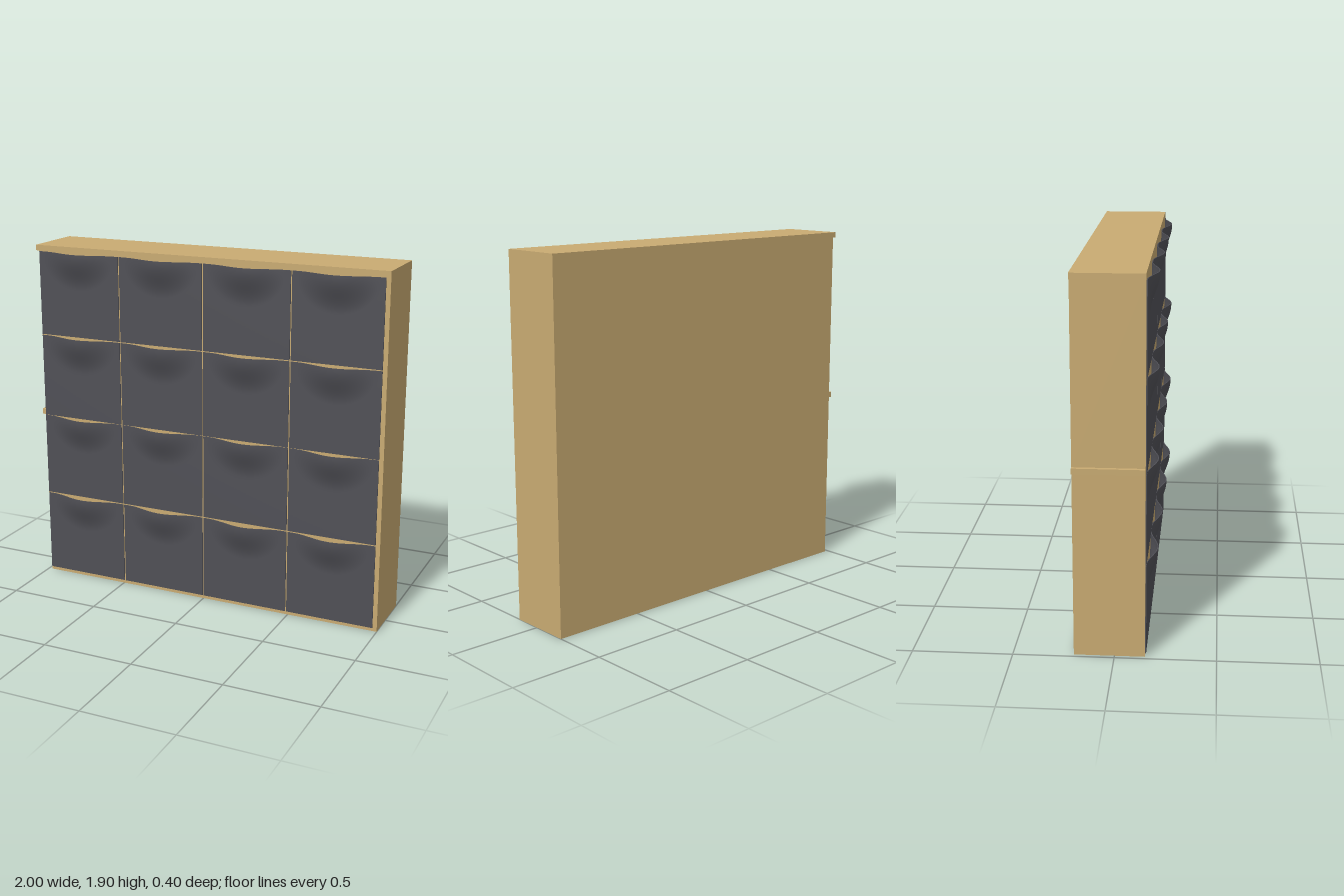
import * as THREE from 'three';

export function createModel() {
  const wood = new THREE.MeshStandardMaterial({ color: 0xc9ab72 });
  wood.name = 'lightWood';
  const grey = new THREE.MeshStandardMaterial({ color: 0x505056 });
  grey.name = 'charcoal';

  const model = new THREE.Group();
  model.name = 'drawerCabinet';

  const backZ = -0.2, frontZ = 0.15;

  // Box given by its x and y limits, running the full cabinet depth
  function board(name, x0, x1, y0, y1) {
    const mesh = new THREE.Mesh(new THREE.BoxGeometry(x1 - x0, y1 - y0, frontZ - backZ), wood);
    mesh.position.set((x0 + x1) / 2, (y0 + y1) / 2, (frontZ + backZ) / 2);
    mesh.name = name;
    model.add(mesh);
  }

  // Two stacked carcasses, each capped by a board that overhangs on one side
  board('lowerCarcass', -0.98, 1, 0, 0.945);
  board('middleBoard', -1, 1, 0.945, 0.975);
  board('upperCarcass', -0.98, 1, 0.975, 1.87);
  board('topBoard', -1, 1, 1.87, 1.9);

  // Thin drawer front whose top middle swells out into an open scoop handle
  const width = 0.483, height = 0.458, thickness = 0.005;
  const front = new THREE.BoxGeometry(width, height, thickness, 48, 44, 1);
  const p = front.attributes.position;
  for (let i = 0; i < p.count; i++) {
    const down = height / 2 - p.getY(i);
    const r = Math.hypot(p.getX(i) / 0.22, Math.max(0, down - 0.008) / 0.19);
    const bulge = 0.045 * 0.5 * (1 + Math.cos(Math.PI * Math.min(1, r)));
    p.setZ(i, p.getZ(i) + thickness / 2 + bulge);
  }
  front.computeVertexNormals();

  // Four by four drawer fronts
  const pitchX = 0.49, tops = [0.477, 0.942, 1.403, 1.867];
  tops.forEach((top, row) => {
    for (let col = 0; col < 4; col++) {
      const drawer = new THREE.Mesh(front, grey);
      drawer.name = `drawerFront_${row + 1}_${col + 1}`;
      drawer.position.set((col - 1.5) * pitchX, top - height / 2, frontZ + 0.0005);
      model.add(drawer);
    }
  });

  return model;
}
